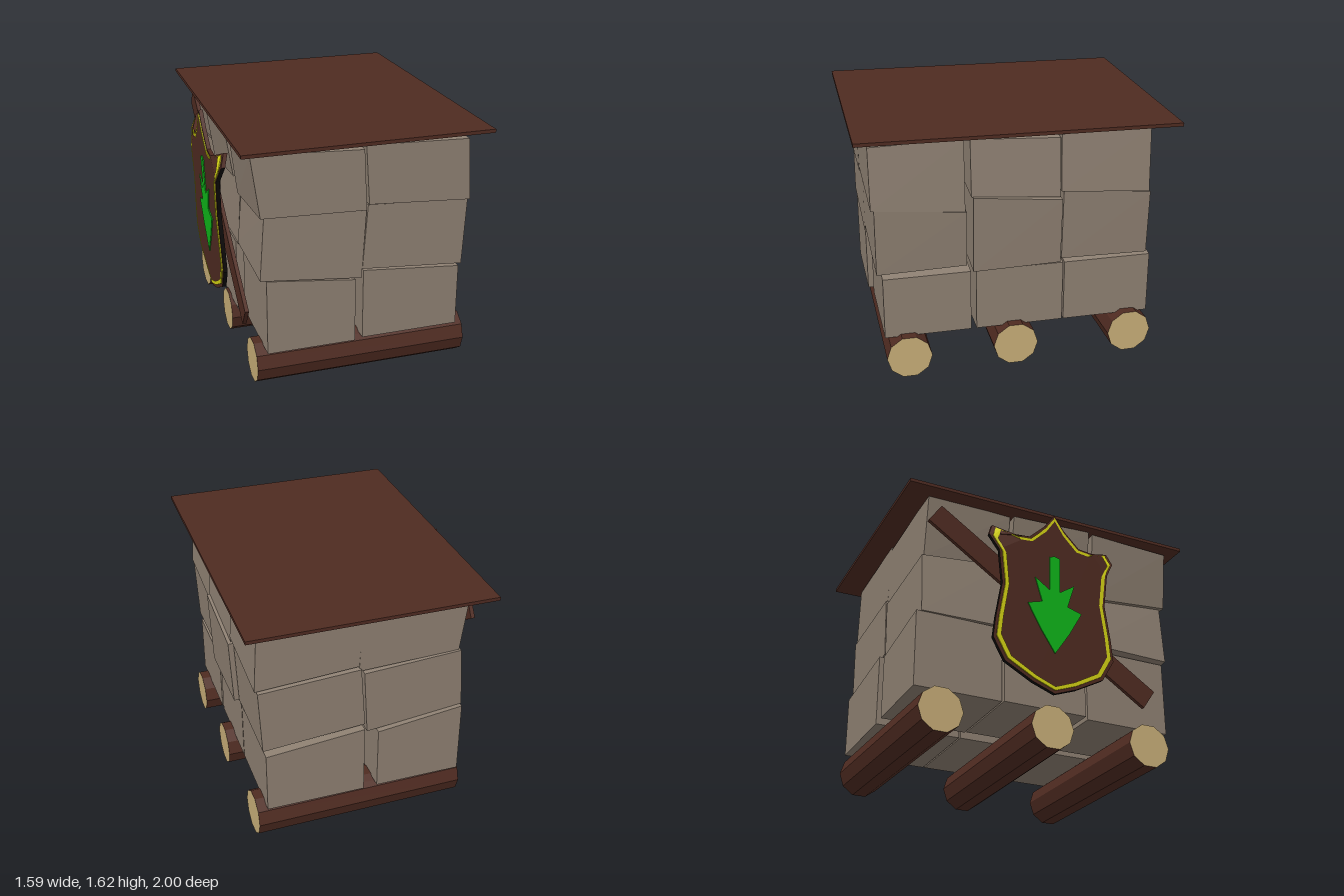
import * as THREE from 'three';

const mat = (name, color, opts = {}) => {
  const m = new THREE.MeshStandardMaterial({ color, ...opts });
  m.name = name;
  return m;
};

export function createModel() {
  const stone = mat('stone', 0x8e8072, { flatShading: true });
  const wood = mat('dark wood', 0x4f2b21, { flatShading: true });
  const cutWood = mat('cut wood', 0xc8ae78);
  const black = mat('black edge', 0x0c0908, { flatShading: true });
  const yellow = mat('yellow trim', 0xd6d414);
  const green = mat('green emblem', 0x0fb81a);

  const model = new THREE.Group();
  const add = (name, geometry, material, parent = model) => {
    const mesh = new THREE.Mesh(geometry, material);
    mesh.name = name;
    parent.add(mesh);
    return mesh;
  };

  // Log rollers lying along x
  [[0.158, 0.71, 0, 0], [0.167, 0.02, 0, 0], [0.16, -0.73, 0.022, 0.01]].forEach(([y, z, yaw, roll], i) => {
    const geo = new THREE.CylinderGeometry(0.145, 0.145, 1.385, 10);
    geo.rotateZ(-Math.PI / 2);
    const log = add('log' + (i + 1), geo, [wood, cutWood, cutWood]);
    log.position.set(0.035, y, z);
    log.rotation.set(0, yaw, roll);
  });

  // Crooked stone block: a quad in xy swept from z1 back to z0, with sloping bottom and top
  function blockGeometry(quad, z1, z0, dx, lift, slopeBottom, slopeTop) {
    const geo = new THREE.BoxGeometry(1, 1, 1);
    const p = geo.attributes.position;
    for (let i = 0; i < p.count; i++) {
      const top = p.getY(i) > 0, right = p.getX(i) > 0, back = p.getZ(i) < 0;
      const [x, y] = quad[top ? (right ? 2 : 3) : (right ? 1 : 0)];
      const slope = top ? slopeTop : slopeBottom;
      p.setXYZ(i, x + dx, y + (top ? lift[1] : lift[0]) + (back ? slope : 0), back ? z0 : z1);
    }
    geo.computeVertexNormals();
    return geo;
  }

  // Per layer: left and right column quads, row z ranges, row shifts, lifts and slopes
  const layers = [
    {
      quads: [[[-0.6, 0.285], [-0.035, 0.285], [-0.035, 0.71], [-0.6, 0.78]],
        [[0.025, 0.28], [0.665, 0.28], [0.665, 0.69], [0.025, 0.75]]],
      rows: [[0.855, 0.3], [0.265, -0.3], [-0.31, -0.88]],
      shift: [[0, -0.04, -0.03], [0, 0, 0]],
      lift: [[0, 0], [0, 0], [0, 0]],
      slope: [[0, 0], [0, 0], [0, 0]],
    },
    {
      quads: [[[-0.64, 0.79], [0, 0.72], [0.025, 1.165], [-0.61, 1.205]],
        [[0.005, 0.78], [0.665, 0.725], [0.685, 1.16], [0.035, 1.2]]],
      rows: [[0.89, 0.325], [0.29, -0.27], [-0.285, -0.85]],
      shift: [[0, 0.01, 0], [0, 0.04, 0.01]],
      lift: [[0, 0], [-0.02, 0.05], [0, 0.04]],
      slope: [[0.01, -0.055], [0.01, -0.06], [-0.01, -0.06]],
    },
    {
      quads: [[[-0.635, 1.2], [0.02, 1.175], [0, 1.57], [-0.69, 1.605]],
        [[0.035, 1.21], [0.69, 1.165], [0.665, 1.57], [0.01, 1.595]]],
      rows: [[0.91, 0.335], [0.3, -0.26], [-0.265, -0.835]],
      shift: [[0, -0.015, 0.035], [0, 0.015, 0.02]],
      lift: [[0, -0.01], [0.045, 0], [0.035, -0.01]],
      slope: [[-0.055, 0.01], [-0.05, -0.03], [-0.05, 0.01]],
    },
  ];
  const blocks = new THREE.Group();
  blocks.name = 'stoneBlocks';
  model.add(blocks);
  layers.forEach((layer, l) => layer.quads.forEach((quad, c) => layer.rows.forEach(([z1, z0], r) => {
    const front = l === 0 && c === 0 && r === 0 ? 0.885 : z1;
    const geo = blockGeometry(quad, front, z0, layer.shift[c][r], layer.lift[r], ...layer.slope[r]);
    add(`block${l + 1}${c ? 'Left' : 'Right'}${r + 1}`, geo, stone, blocks);
  })));

  // Flat roof board, slightly higher at the front
  const roof = add('roofBoard', new THREE.BoxGeometry(1.55, 0.022, 2), wood);
  roof.position.set(0.015, 1.613, 0);
  roof.rotation.x = -0.01;

  // Diagonal plank behind the shield
  const low = new THREE.Vector3(-0.69, 0.455, 0.7), high = new THREE.Vector3(-0.675, 1.46, -0.8);
  const plank = add('plank', new THREE.BoxGeometry(0.025, 0.15, low.distanceTo(high)), wood);
  plank.position.copy(low).lerp(high, 0.5);
  plank.lookAt(high);

  // Shield, drawn in a plane and turned to face -x
  const shield = new THREE.Group();
  shield.name = 'shield';
  shield.rotation.y = -Math.PI / 2;
  shield.position.z = -0.01;
  model.add(shield);

  const mirror = (half) => [...half, ...half.slice(1, -1).reverse().map(([x, y]) => [-x, y])]
    .map(([x, y]) => new THREE.Vector2(x, y));
  const outline = mirror([[0, 1.6], [0.07, 1.5], [0.18, 1.395], [0.28, 1.385], [0.42, 1.445], [0.45, 1.36],
    [0.39, 1.25], [0.365, 1.02], [0.405, 0.78], [0.42, 0.64], [0.34, 0.5], [0.15, 0.4], [0, 0.345]]);
  const scaled = (sx, sy) => outline.map((p) => new THREE.Vector2(p.x * sx, 0.95 + (p.y - 0.95) * sy));
  const clamp = THREE.MathUtils.clamp;

  // Plate leaning outward at the top, with its upper corners curled back
  function plate(shape, depth, offset) {
    const geo = new THREE.ExtrudeGeometry(shape, { depth, bevelEnabled: false });
    const p = geo.attributes.position;
    for (let i = 0; i < p.count; i++) {
      const x = p.getX(i), y = p.getY(i);
      const curl = clamp((Math.abs(x) - 0.28) / 0.13, 0, 1) * clamp((y - 1.3) / 0.12, 0, 1);
      p.setZ(i, p.getZ(i) + offset + 0.035 * (y - 0.35) - 0.055 * curl);
    }
    geo.computeVertexNormals();
    return geo;
  }

  // Board: wooden faces and top edge, black side edges
  const boardGeo = plate(new THREE.Shape(outline), 0.026, 0.722);
  const sides = boardGeo.groups[1], pos = boardGeo.attributes.position;
  boardGeo.groups.pop();
  for (let i = sides.start; i < sides.start + sides.count; i += 3) {
    const y = (pos.getY(i) + pos.getY(i + 1) + pos.getY(i + 2)) / 3;
    boardGeo.addGroup(i, 3, y > 1.375 ? 0 : 1);
  }
  add('shieldBoard', boardGeo, [wood, black], shield);

  // Trim ring
  const ring = new THREE.Shape(scaled(0.95, 0.965));
  ring.holes.push(new THREE.Path(scaled(0.88, 0.925)));
  add('shieldTrim', plate(ring, 0.007, 0.748), yellow, shield);

  // Tree emblem, tip downward
  const emblem = new THREE.Shape(mirror([[0, 1.29], [0.035, 1.28], [0.035, 1.04], [0.14, 1.11], [0.09, 0.95],
    [0.19, 0.92], [0.1, 0.76], [0, 0.61]]));
  add('shieldEmblem', plate(emblem, 0.007, 0.748), green, shield);

  return model;
}
